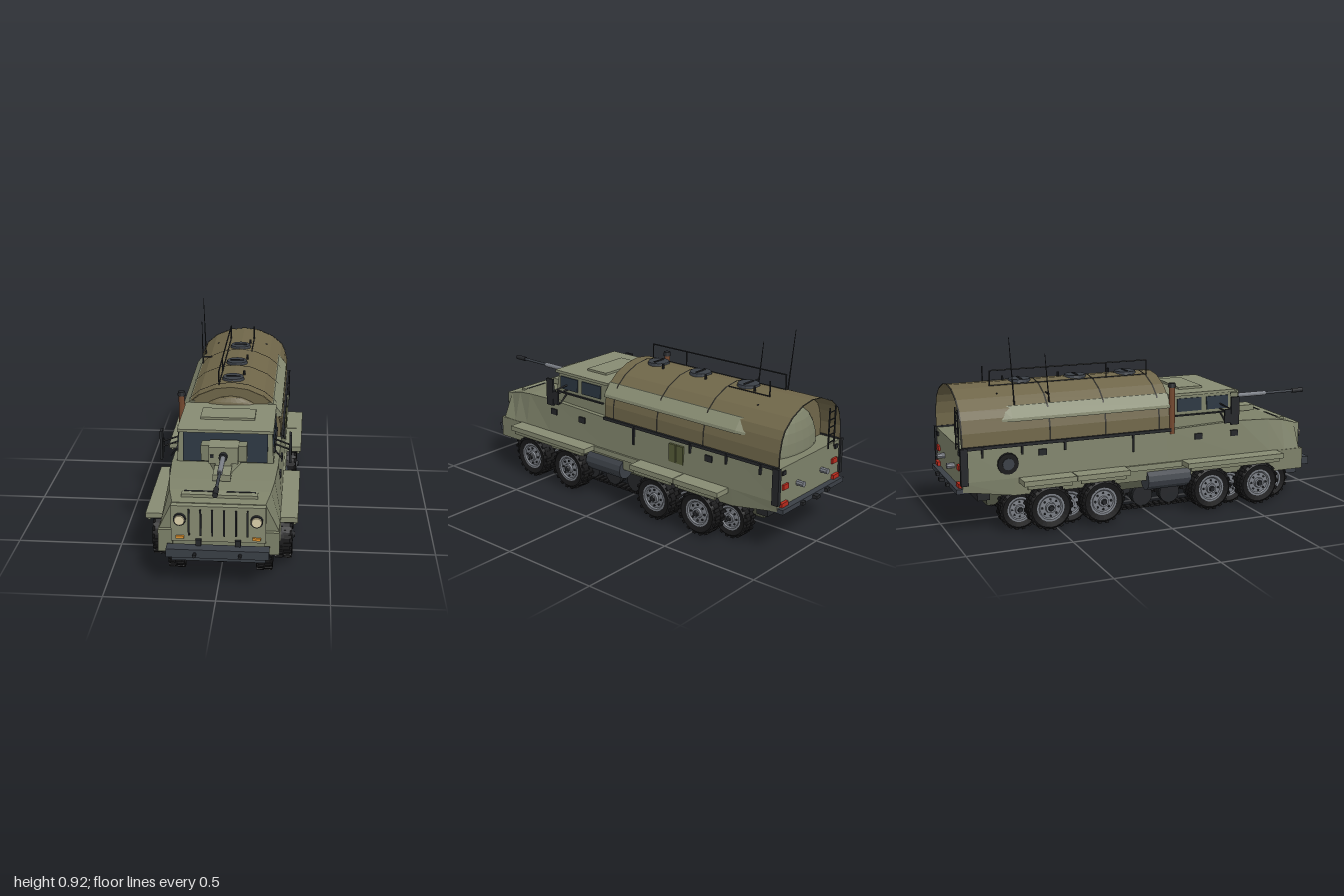
import * as THREE from 'three';

const mat = (color, side = THREE.FrontSide) => new THREE.MeshStandardMaterial({ color, side, flatShading: true });
const green = mat(0x7d8169), pale = mat(0x878b72), olive = mat(0x6f6649, THREE.DoubleSide), dark = mat(0x25272a);
const steel = mat(0x3a3f46), glass = mat(0x2a3540), tyreM = mat(0x19191a), rimM = mat(0x7a7e85);
const lampM = mat(0xddd2ac), amber = mat(0xe0932f), red = mat(0xb82a1c), rust = mat(0x74482f), belly = mat(0x4c4f40);
const can = mat(0x565b38), band = mat(0x2b2a24, THREE.DoubleSide);

// Skin through cross-sections [z, [[x, y], ...]], counter-clockwise seen from +z, ordered back to front
function loft(sections, closed = true) {
  const v = [], n = sections[0][1].length;
  const P = (i, j) => [...sections[i][1][j % n], sections[i][0]];
  const tri = (...p) => p.forEach(q => v.push(...q));
  for (let i = 0; i + 1 < sections.length; i++)
    for (let j = 0; j < (closed ? n : n - 1); j++) {
      tri(P(i, j), P(i, j + 1), P(i + 1, j + 1));
      tri(P(i, j), P(i + 1, j + 1), P(i + 1, j));
    }
  if (closed) for (let j = 1; j < n - 1; j++) {
    const e = sections.length - 1;
    tri(P(e, 0), P(e, j), P(e, j + 1));
    tri(P(0, 0), P(0, j + 1), P(0, j));
  }
  const g = new THREE.BufferGeometry();
  g.setAttribute('position', new THREE.Float32BufferAttribute(v, 3));
  g.computeVertexNormals();
  return g;
}
// Mirrors a right-hand half profile (bottom to top) into a closed loop
const sym = half => [...half, ...half.slice().reverse().map(([x, y]) => [-x, y])];

export function createModel() {
  const root = new THREE.Group();
  root.name = 'armouredTankerTruck';
  const add = (name, geo, m, x = 0, y = 0, z = 0, parent = root) => {
    const o = new THREE.Mesh(geo, m);
    o.name = name;
    o.position.set(x, y, z);
    parent.add(o);
    return o;
  };
  // Box given by its extents
  const box = (name, m, x0, x1, y0, y1, z0, z1) => add(name,
    new THREE.BoxGeometry(Math.abs(x1 - x0), y1 - y0, z1 - z0), m, (x0 + x1) / 2, (y0 + y1) / 2, (z0 + z1) / 2);
  // Round bar between two points
  const rod = (name, m, a, b, r, r2 = r, seg = 8) => {
    const A = new THREE.Vector3(...a), B = new THREE.Vector3(...b), d = B.clone().sub(A);
    const o = add(name, new THREE.CylinderGeometry(r2, r, d.length(), seg), m);
    o.position.copy(A).add(B).multiplyScalar(0.5);
    o.quaternion.setFromUnitVectors(new THREE.Vector3(0, 1, 0), d.normalize());
    return o;
  };
  const both = f => [1, -1].forEach(f);

  // Hull with tapering bonnet
  const hs = (z, lo, w, wt, top) => [z, sym([[w - 0.005, lo], [w, 0.265], [wt, top]])];
  add('hull', loft([hs(-0.945, 0.22, 0.262, 0.252, 0.42), hs(-0.7, 0.18, 0.265, 0.252, 0.42), hs(0.08, 0.18, 0.265, 0.252, 0.42),
    hs(0.48, 0.17, 0.268, 0.25, 0.434), hs(0.65, 0.16, 0.268, 0.24, 0.425), hs(0.74, 0.16, 0.268, 0.228, 0.412),
    hs(0.825, 0.16, 0.266, 0.207, 0.388)]), green);
  box('grillePanel', pale, -0.21, 0.21, 0.215, 0.385, 0.81, 0.855);
  for (let i = 0; i < 6; i++) box('grilleSlot', dark, -0.134 + i * 0.052, -0.126 + i * 0.052, 0.245, 0.37, 0.85, 0.862);
  both(s => box('bonnetVent', dark, s * 0.03, s * 0.16, 0.408, 0.414, 0.748, 0.758));
  box('bonnetPanel', pale, -0.17, 0.17, 0.39, 0.412, 0.71, 0.79);
  box('frontBumper', steel, -0.228, 0.228, 0.16, 0.2, 0.855, 0.91);
  box('bumperBack', steel, -0.21, 0.21, 0.115, 0.157, 0.77, 0.85);
  both(s => {
    const h = add('headlightRing', new THREE.CylinderGeometry(0.028, 0.028, 0.02, 16), dark, s * 0.17, 0.323, 0.86);
    const l = add('headlight', new THREE.CylinderGeometry(0.022, 0.025, 0.014, 16), lampM, s * 0.17, 0.323, 0.87);
    h.rotation.x = l.rotation.x = Math.PI / 2;
    box('frontWing', green, s * 0.205, s * 0.27, 0.155, 0.262, 0.5, 0.845);
    box('indicator', amber, s * 0.152, s * 0.188, 0.23, 0.242, 0.85, 0.865);
    box('bumperBracket', dark, s * 0.075, s * 0.1, 0.2, 0.228, 0.85, 0.87);
    rod('towPin', dark, [s * 0.1, 0.18, 0.9], [s * 0.1, 0.18, 0.935], 0.008);
  });

  // Cab
  const cabW = (z, t) => [z, sym([[0.228, 0.41], [0.218, t]])];
  add('cab', loft([cabW(0.1, 0.585), cabW(0.445, 0.585), [0.47, sym([[0.228, 0.41], [0.226, 0.43]])]]), green);
  box('roof', pale, -0.225, 0.225, 0.578, 0.592, 0.1, 0.468);
  box('roofHatch', pale, -0.13, 0.13, 0.59, 0.603, 0.2, 0.33);
  const screen = box('windscreen', glass, -0.198, 0.198, 0.437, 0.575, 0.454, 0.468);
  screen.rotation.x = -0.14;
  both(s => {
    [[0.31, 0.43], [0.15, 0.28]].forEach(([a, b]) => {
      const w = box('sideWindow', glass, s * 0.215, s * 0.227, 0.5, 0.565, a, b);
      w.rotation.z = s * 0.06;
    });
    box('windowSill', dark, s * 0.22, s * 0.234, 0.478, 0.485, 0.13, 0.45);
    box('mirror', dark, s * 0.297, s * 0.309, 0.43, 0.57, 0.405, 0.45);
    box('lowerMirror', dark, s * 0.299, s * 0.307, 0.44, 0.51, 0.37, 0.41);
    [0.49, 0.515].forEach(y => rod('mirrorArm', dark, [s * 0.215, y + 0.012, 0.38], [s * 0.3, y - 0.008, 0.41], 0.004));
    rod('mirrorArm', dark, [s * 0.225, 0.475, 0.39], [s * 0.265, 0.43, 0.4], 0.004);
  });

  // Gun
  box('gunBase', pale, -0.04, 0.04, 0.43, 0.46, 0.55, 0.68);
  add('gunPedestal', loft([[0.48, sym([[0.075, 0.43], [0.065, 0.475]])], [0.575, sym([[0.04, 0.43], [0.035, 0.475]])]]), pale);
  box('gunHousing', pale, -0.068, 0.068, 0.47, 0.55, 0.48, 0.575);
  both(s => box('gunSideShield', green, s * 0.068, s * 0.106, 0.472, 0.548, 0.49, 0.55));
  box('gunSight', dark, -0.06, -0.045, 0.5, 0.515, 0.57, 0.58);
  [[0.57, 0.6, 0.02, dark], [0.58, 0.77, 0.012, rimM], [0.76, 0.95, 0.007, steel], [0.935, 1, 0.012, dark]].forEach(([a, b, r, m]) =>
    rod('gunBarrel', m, [0, 0.508, a], [0, 0.508, b], r, r, 12));

  // Cargo tank: faceted cover with domed ends
  const half = [[0.25, 0.42], [0.248, 0.49], [0.234, 0.55], [0.215, 0.588], [0.16, 0.634], [0.08, 0.668], [0, 0.678]];
  const arch = [...half, ...half.slice(0, -1).reverse().map(([x, y]) => [-x, y])];
  const inset = k => arch.map(([x, y]) => [x * k, 0.42 + (y - 0.42) * k]);
  add('tankCover', loft([[-0.945, arch], [0.1, arch]], false), olive);
  add('tankBody', loft([[-0.84, inset(0.985)], [0.095, inset(0.985)]]), olive);
  [-0.943, -0.24, -0.52, 0.04].forEach(z => add('tankBand', loft([[z - 0.004, inset(1.01)], [z + 0.004, inset(1.01)]], false), band));
  [[green, -0.83, 0.19, 0.075], [olive, 0.1, 0.2, 0.045]].forEach(([m, z, r, d]) =>
    add('tankDome', new THREE.SphereGeometry(1, 20, 12), m, 0, 0.43, z).scale.set(r, r, d));
  both(s => {
    // Sloped side lockers along the tank
    const q = [[0.225, 0.53], [0.252, 0.53], [0.25, 0.545], [0.208, 0.597], [0.18, 0.6]].map(([x, y]) => [s * x, y]);
    const tip = [[0.22, 0.53], [0.237, 0.53], [0.236, 0.54], [0.2, 0.595], [0.18, 0.6]].map(([x, y]) => [s * x, y]);
    if (s < 0) [q, tip].forEach(a => a.reverse());
    add('tankSideLocker', loft([[-0.75, tip], [-0.7, q], [0.1, q]]), pale);
    box('sideRail', dark, s * 0.246, s * 0.262, 0.413, 0.428, -0.94, 0.1);
    box('rearPost', dark, s * 0.248, s * 0.268, 0.25, 0.425, -0.955, -0.92);
    [-0.85, -0.66, -0.45, -0.1].forEach(z => box('railBracket', dark, s * 0.25, s * 0.266, z === -0.1 ? 0.33 : 0.375, 0.425, z - 0.004, z + 0.004));
    [0.45, 0.25, -0.56].forEach(z => box('sidePort', dark, s * 0.245, s * 0.263, 0.36, 0.39, z - 0.02, z + 0.02));
    box('sideStep', pale, s * 0.255, s * 0.275, 0.235, 0.262, -0.15, 0.155);
  });
  [-0.04, -0.305, -0.59].forEach(z => {
    add('fillHatch', new THREE.CylinderGeometry(0.052, 0.056, 0.016, 16), steel, 0, 0.678, z);
    box('hatchHandle', dark, -0.035, 0.035, 0.684, 0.69, z - 0.005, z + 0.005);
    rod('hatchValve', dark, [0.05, 0.66, z - 0.07], [0.05, 0.694, z - 0.07], 0.006);
  });

  // Walkway rail, aerials and exhaust
  [0.05, -0.165, -0.755].forEach(z => rod('railPost', dark, [-0.065, 0.66, z], [-0.065, 0.743, z], 0.0035));
  rod('handRail', dark, [-0.065, 0.743, 0.05], [-0.065, 0.743, -0.755], 0.0035);
  rod('railPost', dark, [0.065, 0.66, -0.755], [0.065, 0.743, -0.755], 0.0035);
  both(s => rod('walkwayEdge', dark, [s * 0.065, 0.671, s > 0 ? -0.52 : 0.05], [s * 0.065, 0.671, -0.755], 0.003));
  rod('walkwayEnd', dark, [-0.14, 0.645, -0.74], [0.14, 0.645, -0.74], 0.003);
  rod('aerialBracket', dark, [-0.2, 0.637, -0.505], [-0.14, 0.637, -0.505], 0.004);
  rod('aerial', dark, [-0.2, 0.59, -0.505], [-0.207, 0.83, -0.525], 0.004, 0.0015);
  rod('aerial', dark, [-0.2, 0.59, -0.675], [-0.215, 0.917, -0.7], 0.004, 0.0015);
  rod('exhaustPipe', rust, [-0.245, 0.4, 0.11], [-0.245, 0.64, 0.11], 0.015, 0.015, 12);
  rod('exhaustCap', dark, [-0.245, 0.632, 0.11], [-0.245, 0.652, 0.11], 0.021, 0.017, 12);

  // Rear end
  box('rearBumper', steel, -0.255, 0.255, 0.212, 0.235, -0.975, -0.86);
  box('rearCrossbar', dark, -0.22, 0.22, 0.16, 0.2, -0.87, -0.81);
  box('hitch', dark, -0.015, 0.015, 0.215, 0.23, -1, -0.97);
  both(s => {
    box('rearLight', red, s * 0.185, s * 0.225, 0.315, 0.34, -0.955, -0.94);
    box('lowerRearLight', red, s * 0.19, s * 0.24, 0.237, 0.257, -0.96, -0.93);
    box('rearPort', dark, s * 0.205, s * 0.23, 0.385, 0.405, -0.952, -0.94);
    box('bumperStop', dark, s * 0.09, s * 0.115, 0.215, 0.23, -0.99, -0.97);
    rod('towPin', rimM, [s * 0.1, 0.312, -0.94], [s * 0.1, 0.312, -0.982], 0.014);
  });
  [-0.2, -0.15].forEach(x => rod('ladderRail', dark, [x, 0.4, -0.945], [x, 0.6, -0.945], 0.004));
  for (let i = 0; i < 5; i++) rod('ladderRung', dark, [-0.2, 0.43 + i * 0.037, -0.945], [-0.15, 0.43 + i * 0.037, -0.945], 0.003);
  rod('spareWheel', tyreM, [-0.245, 0.335, -0.73], [-0.266, 0.335, -0.73], 0.055, 0.05, 16);
  rod('spareHub', steel, [-0.26, 0.335, -0.73], [-0.27, 0.335, -0.73], 0.028, 0.028, 12);
  [-0.347, -0.392].forEach(z => box('fuelCan', can, 0.24, 0.266, 0.305, 0.395, z - 0.02, z + 0.02));

  // Fenders and side tanks
  both(s => {
    [[0.155, 0.69], [-0.418, -0.15], [-0.68, -0.422]].forEach(([a, b]) => {
      box('fender', pale, s * 0.25, s * 0.348, 0.24, 0.265, a, b);
      box('fenderLip', green, s * 0.328, s * 0.34, 0.222, 0.242, a + 0.02, b - 0.02);
    });
    rod('sideTank', steel, [s * 0.237, 0.177, -0.03], [s * 0.237, 0.177, 0.2], 0.052, 0.052, 12);
  });

  // Wheels
  const lathe = (pts, n) => new THREE.LatheGeometry(pts.map(p => new THREE.Vector2(...p)), n);
  const tyreG = lathe([[0.066, -0.036], [0.094, -0.042], [0.106, -0.03], [0.106, 0.03], [0.094, 0.042], [0.066, 0.036], [0.066, -0.036]], 24);
  const rimG = lathe([[0, -0.03], [0.068, -0.03], [0.068, 0.037], [0.058, 0.037], [0.052, 0.03], [0.026, 0.032], [0.024, 0.044], [0, 0.046]], 20);
  const lugG = new THREE.BoxGeometry(0.01, 0.036, 0.016);
  const boltG = new THREE.CylinderGeometry(0.005, 0.005, 0.01, 6);
  const wheel = (s, x, y, z, k = 1) => {
    const g = new THREE.Group();
    g.name = 'wheel';
    add('tyre', tyreG, tyreM, 0, 0, 0, g);
    add('rim', rimG, rimM, 0, 0, 0, g);
    add('hubCap', new THREE.CylinderGeometry(0.012, 0.016, 0.01, 10), dark, 0, 0.048, 0, g);
    add('brakeDrum', new THREE.CylinderGeometry(0.066, 0.05, 0.012, 16), dark, 0, -0.034, 0, g);
    for (let i = 0; i < 36; i++) {
      const a = i * Math.PI / 18;
      add('treadLug', lugG, tyreM, 0.105 * Math.cos(a), i % 2 ? 0.021 : -0.021, 0.105 * Math.sin(a), g).rotation.y = -a;
    }
    for (let i = 0; i < 8; i++) add('wheelBolt', boltG, dark, 0.04 * Math.cos(i * Math.PI / 4), 0.032, 0.04 * Math.sin(i * Math.PI / 4), g);
    g.rotation.z = -s * Math.PI / 2;
    g.position.set(s * x, y, z);
    g.scale.setScalar(k);
    root.add(g);
  };
  [0.565, 0.295, -0.28, -0.545].forEach(z => {
    both(s => wheel(s, 0.282, 0.118, z));
    rod('axle', dark, [-0.25, 0.118, z], [0.25, 0.118, z], 0.018);
    add('differential', new THREE.SphereGeometry(0.045, 12, 8), dark, 0, 0.1, z);
  });
  [0.68, 0.44, -0.42, -0.67].forEach(z => both(s => wheel(s, 0.2, 0.1, z, 0.9)));

  // Chassis and inner tracks
  box('chassis', belly, -0.16, 0.16, 0.115, 0.2, -0.81, 0.8);
  box('skidPlate', belly, -0.155, 0.155, 0.072, 0.12, 0.64, 0.72);
  add('noseWinch', new THREE.SphereGeometry(0.05, 10, 8), dark, 0, 0.088, 0.72).scale.set(1, 0.8, 1);
  rod('driveShaft', dark, [0, 0.115, -0.6], [0, 0.115, 0.7], 0.014);
  const R = 0.055, L = 0.47, per = 4 * L + 2 * Math.PI * R, N = 72;
  both(s => {
    [-0.47, -0.3, -0.15, 0, 0.15, 0.3, 0.47].forEach(z => [0.1, 0.128].forEach(x =>
      rod('trackRoadWheel', dark, [s * (x - 0.01), 0.066, z], [s * (x + 0.01), 0.066, z], 0.054, 0.054, 16)));
    for (let i = 0; i < N; i++) {
      let d = i * per / N, y, z, a = 0;
      if (d < 2 * L) { z = d - L; y = -R; }
      else if ((d -= 2 * L) < Math.PI * R) { a = -d / R; z = L + R * Math.sin(-a); y = -R * Math.cos(a); }
      else if ((d -= Math.PI * R) < 2 * L) { z = L - d; y = R; }
      else { a = -(d - 2 * L) / R; z = -L - R * Math.sin(-a); y = R * Math.cos(a); }
      add('trackLink', new THREE.BoxGeometry(0.054, 0.012, 0.022), tyreM, s * 0.114, 0.063 + y, z).rotation.x = a;
    }
  });
  return root;
}
